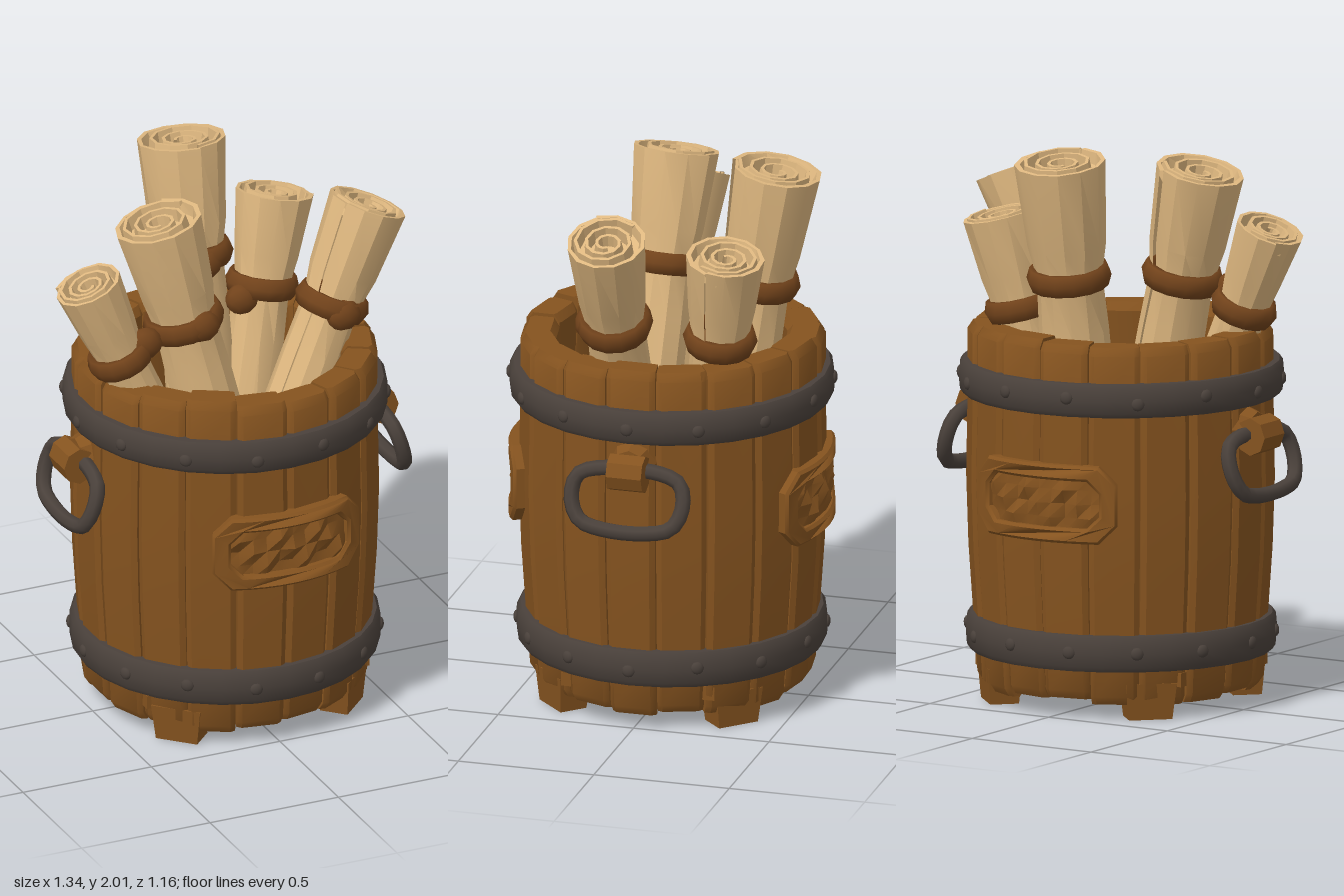
import * as THREE from 'three';
import { toCreasedNormals, mergeGeometries } from 'three/addons/utils/BufferGeometryUtils.js';
import { ParametricGeometry } from 'three/addons/geometries/ParametricGeometry.js';

const mat = (name, color, side = THREE.FrontSide) => {
  const m = new THREE.MeshStandardMaterial({ color, side });
  m.name = name;
  return m;
};
const V2 = (x, y) => new THREE.Vector2(x, y);
const V3 = (x, y, z) => new THREE.Vector3(x, y, z);

export function createModel() {
  const wood = mat('wood', 0x85531f);
  const iron = mat('iron', 0x4a413b);
  const paper = mat('parchment', 0xdfb880, THREE.DoubleSide);
  const leather = mat('leather', 0x72431b);

  let seed = 7;
  const rand = () => (seed = (seed * 16807) % 2147483647) / 2147483647;
  const jitter = (a) => (rand() - 0.5) * 2 * a;

  const model = new THREE.Group();
  model.name = 'scrollBarrel';
  const add = (name, geo, material, parent = model) => {
    const m = new THREE.Mesh(geo, material);
    m.name = name;
    parent.add(m);
    return m;
  };
  const crease = (g, a = 0.6) => toCreasedNormals(g, a);

  const barrel = new THREE.Group();
  barrel.name = 'barrel';
  barrel.position.x = 0.015;
  model.add(barrel);

  // Staves: curved wedges with slightly uneven ends
  const outer = [[0.485, 0.06], [0.505, 0.09], [0.52, 0.3], [0.537, 0.55], [0.545, 0.8], [0.54, 1.1], [0.54, 1.32], [0.52, 1.35]];
  const inner = [[0.44, 0.06], [0.43, 0.09], [0.42, 0.3], [0.42, 0.55], [0.42, 0.8], [0.42, 1.1], [0.41, 1.32], [0.43, 1.35]];
  const staveGeometry = (a0, a1) => {
    const n = outer.length, loop = [...outer, ...[...inner].reverse()], L = loop.length, K = 4;
    const top = jitter(0.015), bottom = jitter(0.015), grow = jitter(0.006), pos = [], idx = [];
    for (let k = 0; k < K; k++) {
      const a = a0 + (a1 - a0) * [0.01, 0.12, 0.88, 0.99][k];
      const cut = k === 0 || k === K - 1 ? 0.012 : 0;
      loop.forEach(([r, y], j) => {
        const rr = j < n ? r + grow - cut : r + cut * 0.5;
        pos.push(Math.sin(a) * rr, y + (y > 1.2 ? top : y < 0.1 ? bottom : 0), Math.cos(a) * rr);
      });
    }
    const quad = (a, b, c, d) => idx.push(a, b, c, a, c, d);
    for (let k = 0; k < K - 1; k++) for (let j = 0; j < L; j++) {
      const j2 = (j + 1) % L;
      quad(k * L + j, (k + 1) * L + j, (k + 1) * L + j2, k * L + j2);
    }
    const e = (K - 1) * L;
    for (let i = 0; i < n - 1; i++) {
      quad(L - 1 - i, i, i + 1, L - 2 - i);
      quad(e + i, e + L - 1 - i, e + L - 2 - i, e + i + 1);
    }
    const g = new THREE.BufferGeometry();
    g.setAttribute('position', new THREE.Float32BufferAttribute(pos, 3));
    g.setIndex(idx);
    return crease(g);
  };
  const COUNT = 18, staves = [];
  for (let i = 0; i < COUNT; i++) staves.push(staveGeometry((i / COUNT) * Math.PI * 2, ((i + 1) / COUNT) * Math.PI * 2));
  add('staves', mergeGeometries(staves), wood, barrel);

  // Floor planks cut to the round
  for (let i = 0; i < 6; i++) {
    const x = (i - 2.5) * 0.145;
    const half = Math.sqrt(0.46 ** 2 - x * x);
    add('floorPlank', new THREE.BoxGeometry(0.141, 0.05, half * 2), wood, barrel).position.set(x, 0.14 + jitter(0.008), 0);
  }

  // Feet
  for (let i = 0; i < 4; i++) {
    const a = Math.PI / 4 + (i * Math.PI) / 2;
    const g = new THREE.CylinderGeometry(0.125, 0.105, 0.13, 4, 1).rotateY(Math.PI / 4).scale(1.05, 1, 0.7);
    const foot = add('foot', g.toNonIndexed(), wood, barrel);
    foot.geometry.computeVertexNormals();
    foot.position.set(Math.sin(a) * 0.44, 0.065, Math.cos(a) * 0.44);
    foot.rotation.y = a;
  }

  // Iron hoops with rivets
  const hoop = (name, y, h, r) => {
    const p = [[-0.05, -0.5], [-0.012, -0.5], [0, -0.36], [0.004, 0], [0, 0.36], [-0.012, 0.5], [-0.05, 0.5], [-0.05, -0.5]];
    const g = new THREE.LatheGeometry(p.map(([dr, t]) => V2(r + dr, y + t * h)), 28);
    add(name, crease(g, 0.7), iron, barrel);
    for (let i = 0; i < 14; i++) {
      const a = ((i + 0.5) / 14) * Math.PI * 2;
      const rivet = add(name + 'Rivet', new THREE.IcosahedronGeometry(0.024, 1), iron, barrel);
      rivet.position.set(Math.sin(a) * r, y + jitter(0.012), Math.cos(a) * r);
      rivet.scale.z = 0.55;
      rivet.rotation.y = a;
    }
  };
  hoop('lowerHoop', 0.245, 0.13, 0.55);
  hoop('upperHoop', 1.16, 0.12, 0.575);

  // Plaques wrapped around the barrel wall, front and back
  const bend = (g) => {
    const p = g.attributes.position;
    for (let i = 0; i < p.count; i++) {
      const a = p.getX(i) / 0.56, r = 0.53 + p.getZ(i);
      p.setXYZ(i, Math.sin(a) * r, p.getY(i), Math.cos(a) * r);
    }
    return g;
  };
  const octagon = (w, h, c) => {
    const corners = [[-w + c, -h], [w - c, -h], [w, -h + c], [w, h - c], [w - c, h], [-w + c, h], [-w, h - c], [-w, -h + c]];
    const pts = [];
    corners.forEach(([x, y], i) => {
      const [nx, ny] = corners[(i + 1) % 8], s = Math.abs(nx - x) > 0.2 ? 8 : 1;
      for (let k = 0; k < s; k++) pts.push(V2(x + ((nx - x) * k) / s, y + ((ny - y) * k) / s));
    });
    return pts;
  };
  for (const turn of [0, Math.PI]) {
    const plaque = new THREE.Group();
    plaque.name = turn ? 'backPlaque' : 'frontPlaque';
    plaque.position.y = 0.785;
    plaque.rotation.y = turn + 0.02;
    barrel.add(plaque);
    const shape = new THREE.Shape(octagon(0.285, 0.13, 0.06));
    shape.holes.push(new THREE.Path(octagon(0.24, 0.095, 0.05)));
    const frame = new THREE.ExtrudeGeometry(shape, { depth: 0.04, bevelThickness: 0.01, bevelSize: 0.01, bevelSegments: 1 });
    add('plaqueFrame', crease(bend(frame)), wood, plaque);
    // Roughly carved field
    const field = new THREE.PlaneGeometry(0.5, 0.2, 10, 4);
    const p = field.attributes.position;
    for (let i = 0; i < p.count; i++) {
      const inside = Math.abs(p.getY(i)) < 0.08 && Math.abs(p.getX(i)) < 0.21;
      p.setZ(i, 0.024 + (inside ? (i % 3 === 0 ? 0.022 : jitter(0.008)) : 0));
    }
    add('plaqueField', crease(bend(field), 0.5), wood, plaque);
  }

  // Ring handles hanging from wooden lugs
  for (const s of [1, -1]) {
    const handle = new THREE.Group();
    handle.name = s > 0 ? 'leftHandle' : 'rightHandle';
    handle.position.set(s * 0.57, 1.0, -0.01);
    barrel.add(handle);
    const path = new THREE.CatmullRomCurve3(
      [[0, 0.12], [-0.03, 0.19], [-0.11, 0.205], [-0.18, 0.17], [-0.205, 0.08], [-0.205, -0.08], [-0.18, -0.17], [-0.11, -0.205], [-0.03, -0.19], [0, -0.12]]
        .map(([y, z]) => V3(-s * y * 0.3, y, z)), true);
    add('ring', new THREE.TubeGeometry(path, 32, 0.028, 7, true), iron, handle);
    const lug = new THREE.CylinderGeometry(0.068, 0.068, 0.13, 8).rotateX(Math.PI / 2).scale(0.9, 1, 1);
    add('lug', crease(lug), wood, handle).position.set(s * 0.02, 0, 0);
    const mount = new THREE.CylinderGeometry(0.06, 0.09, 0.07, 8).rotateZ(-s * Math.PI / 2);
    add('lugMount', crease(mount), wood, handle).position.set(-s * 0.025, 0.02, 0);
  }

  // Rolled scrolls: base, top, radius, tie height, knot position
  const scrolls = [
    [[0.04, 0.18, -0.1], [0.025, 1.98, -0.39], 0.165, 1.56, [0.03, 1.56, -0.21]],
    [[0.03, 0.18, -0.1], [0.34, 1.75, -0.295], 0.14, 1.42, [0.175, 1.4, -0.2]],
    [[0.13, 0.2, 0.16], [-0.28, 1.91, 0.065], 0.16, 1.52, [-0.16, 1.53, 0.19]],
    [[0.06, 0.22, 0.15], [-0.56, 1.725, 0.085], 0.125, 1.43, [-0.36, 1.48, 0.14]],
    [[-0.13, 0.22, 0.13], [0.53, 1.835, 0.095], 0.145, 1.48, [0.385, 1.47, 0.2]],
  ];
  scrolls.forEach(([b, t, R, tieY, knotAt], n) => {
    const base = V3(...b), axis = V3(...t).sub(base), len = axis.length();
    const scroll = new THREE.Group();
    scroll.name = 'scroll' + (n + 1);
    scroll.position.copy(base);
    scroll.quaternion.setFromUnitVectors(V3(0, 1, 0), axis.clone().normalize());
    model.add(scroll);
    const tie = ((tieY - b[1]) / (t[1] - b[1])) * len;
    // Sheet pinched at the tie, with an overlapping edge
    const profile = [[0, 0], [0.85, 0], [0.78, 0.3], [0.74, tie - 0.2], [0.7, tie], [0.84, tie + 0.12], [0.98, len], [0.88, len], [0.8, len - 0.04], [0, len - 0.05]];
    const sheet = new THREE.LatheGeometry(profile.map(([r, y]) => V2(r * R, y)), 12, n * 1.3);
    const p = sheet.attributes.position, rows = profile.length;
    for (let i = 0; i < p.count; i++) {
      const f = 0.96 + (0.08 * Math.floor(i / rows)) / 12 + jitter(0.02);
      p.setX(i, p.getX(i) * f);
      p.setZ(i, p.getZ(i) * f);
    }
    add('sheet', crease(sheet, 0.5), paper, scroll);
    // Spiral edge of the roll
    const spiral = new ParametricGeometry((u, v, out) => {
      const a = u * Math.PI * 5.4 + n, row = Math.round(v * 3);
      const r = R * (0.84 - 0.7 * u) + [0.012, 0.006, -0.006, -0.012][row];
      out.set(Math.sin(a) * r, len + (row % 3 ? 0.008 - 0.015 * u : -0.05), Math.cos(a) * r);
    }, 28, 3);
    add('rolledEdge', crease(spiral, 0.4), paper, scroll);
    // Leather tie and its knot
    const cord = new THREE.TorusGeometry(R * 0.76, 0.027, 6, 14).rotateX(Math.PI / 2).scale(1, 1.65, 1);
    add('tie', cord, leather, scroll).position.y = tie;
    const knot = add('knot', new THREE.IcosahedronGeometry(0.06, 1), leather);
    knot.position.set(...knotAt);
    knot.scale.set(1.1, 1, 0.8);
  });

  return model;
}
